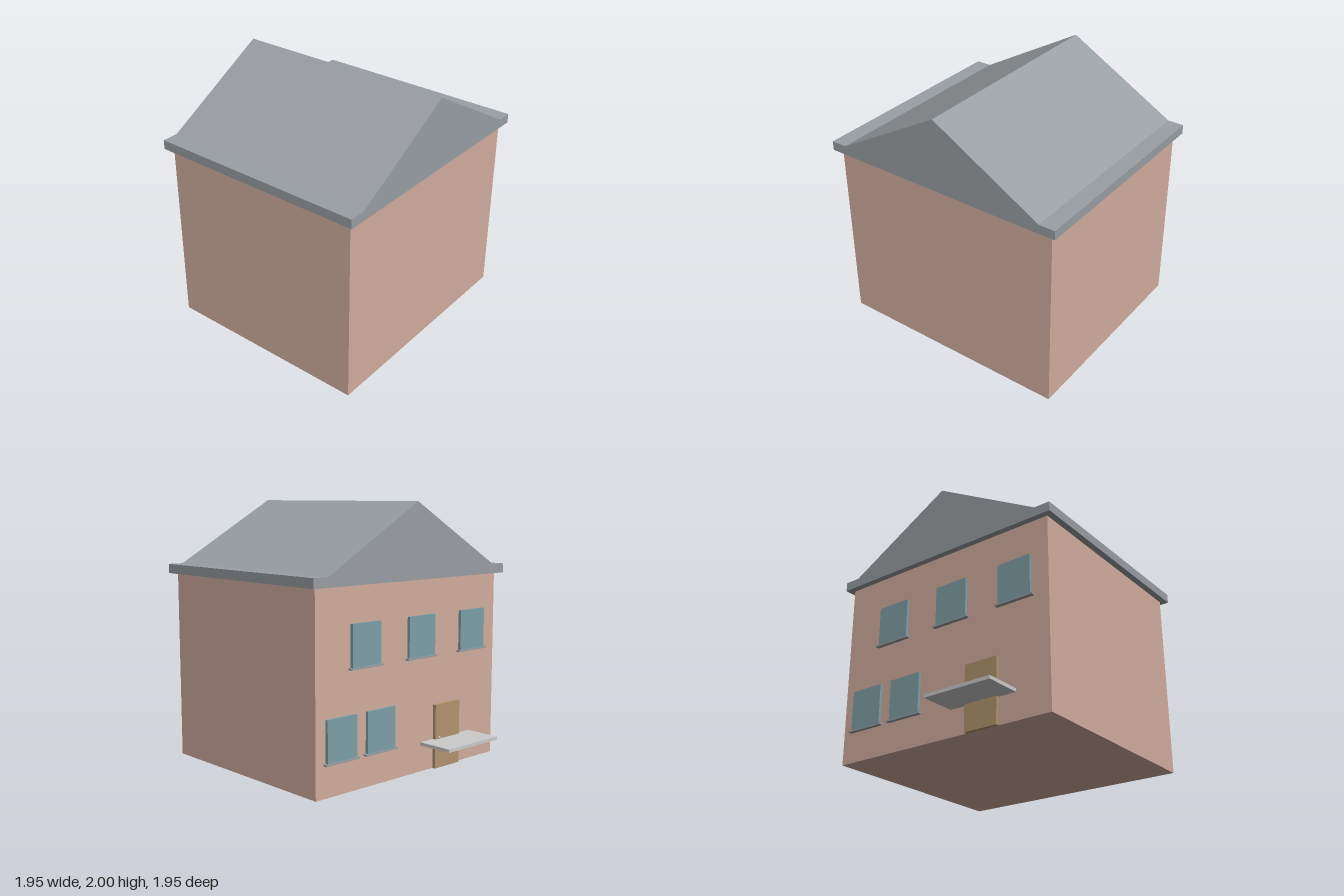
import * as THREE from 'three';

const paint = (color) => new THREE.MeshStandardMaterial({ color });
const BACK = -0.695; // plane of the back wall

export function createModel() {
  const house = new THREE.Group();
  house.name = 'house';
  const brick = paint(0xd2ae9f), slate = paint(0x9a9fa4), glass = paint(0x7fa0a8);
  const wood = paint(0xb0946f), stone = paint(0xcccccc);

  // Box given by its min and max corners
  function box(name, material, [x0, y0, z0], [x1, y1, z1], parent = house) {
    const mesh = new THREE.Mesh(new THREE.BoxGeometry(x1 - x0, y1 - y0, z1 - z0), material);
    mesh.position.set((x0 + x1) / 2, (y0 + y1) / 2, (z0 + z1) / 2);
    mesh.name = name;
    parent.add(mesh);
    return mesh;
  }

  // Walls
  box('walls', brick, [-0.927, 0, BACK], [0.927, 1.443, 0.93]);

  // Roof: eaves slab and gable in one extruded outline
  const outline = new THREE.Shape([
    [-0.977, 1.443], [0.977, 1.443], [0.977, 1.514], [0.852, 1.514],
    [0, 2], [-0.852, 1.514], [-0.977, 1.514],
  ].map(([x, y]) => new THREE.Vector2(x, y)));
  const roof = new THREE.Mesh(
    new THREE.ExtrudeGeometry(outline, { depth: 1.72, bevelEnabled: false }), slate);
  roof.position.z = -0.743;
  roof.name = 'roof';
  house.add(roof);

  // Back windows: pane with a slightly wider sill
  function addWindow(x, y) {
    const group = new THREE.Group();
    group.name = 'window';
    box('pane', glass, [x - 0.137, y, BACK - 0.022], [x + 0.137, y + 0.304, BACK], group);
    box('windowSill', slate, [x - 0.157, y - 0.014, BACK - 0.029], [x + 0.157, y, BACK], group);
    house.add(group);
  }
  for (const x of [0.47, -0.09, -0.65]) addWindow(x, 0.875);
  for (const x of [0.7, 0.325]) addWindow(x, 0.245);

  // Back door with knob, and the slab crossing it
  box('door', wood, [-0.508, 0, BACK - 0.026], [-0.238, 0.49, BACK]);
  const knob = new THREE.Mesh(new THREE.SphereGeometry(0.01, 16, 12), stone);
  knob.position.set(-0.28, 0.236, BACK - 0.029);
  knob.name = 'doorKnob';
  house.add(knob);
  box('canopy', stone, [-0.65, 0.2, -0.977], [-0.1, 0.225, BACK]);

  return house;
}
